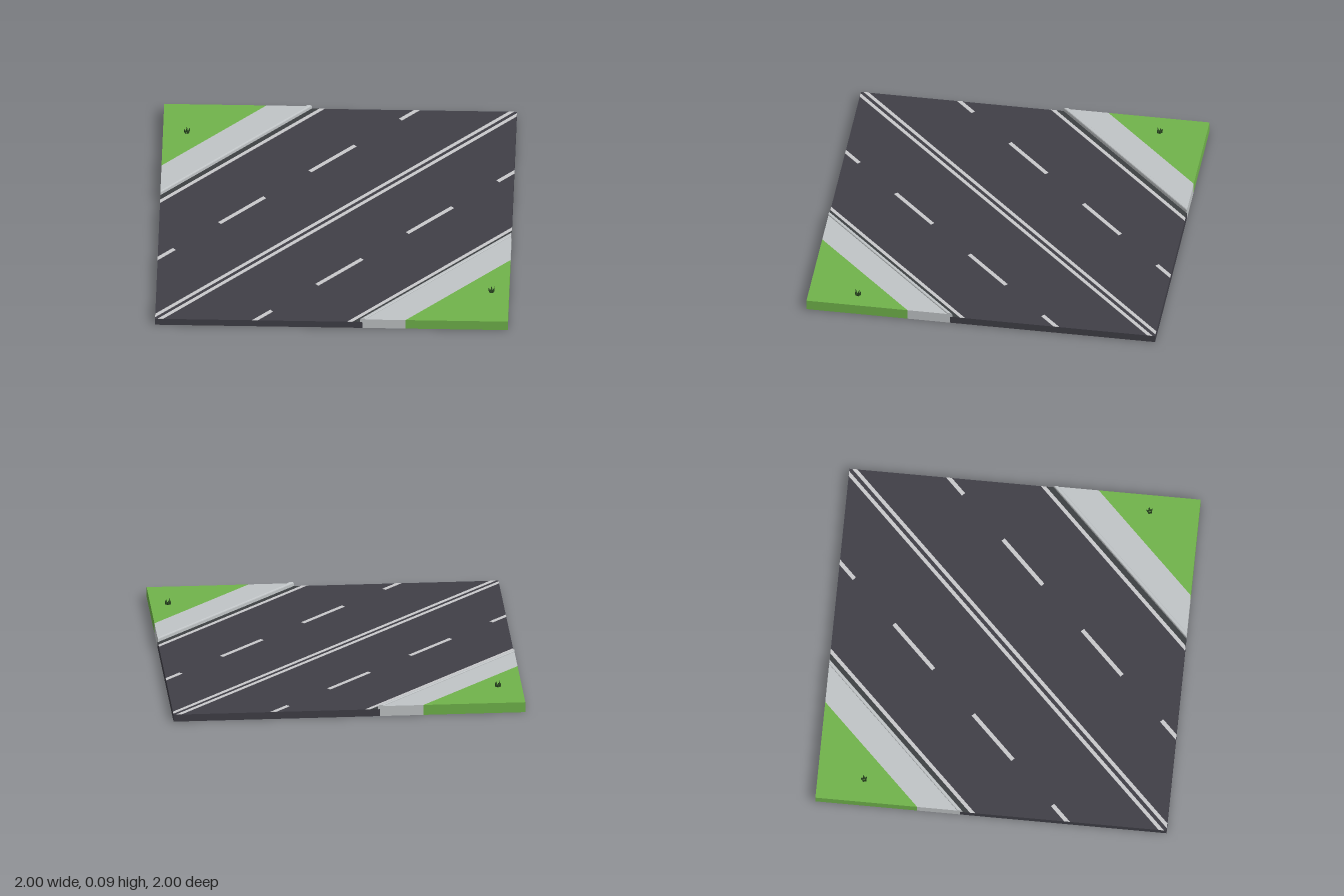
import * as THREE from 'three';

const mat = (name, color) => {
  const m = new THREE.MeshStandardMaterial({ color });
  m.name = name;
  return m;
};

// Across-road coordinate s = x + z, along-road coordinate d = (x - z) / 2.
const toPlan = (s, d) => [s / 2 + d, s / 2 - d];

// Trim a plan polygon to the square tile, one edge at a time.
function clipToTile(poly) {
  for (const [axis, sign] of [[0, 1], [0, -1], [1, 1], [1, -1]]) {
    const out = [];
    poly.forEach((a, i) => {
      const b = poly[(i + 1) % poly.length];
      const da = 1 - sign * a[axis], db = 1 - sign * b[axis];
      if (da >= 0) out.push(a);
      if (da * db < 0) {
        const t = da / (da - db);
        out.push([a[0] + (b[0] - a[0]) * t, a[1] + (b[1] - a[1]) * t]);
      }
    });
    poly = out;
  }
  return poly;
}

// Slab following the road, trimmed at the tile edges.
function slab(s0, s1, d0, d1, y0, y1) {
  const poly = clipToTile([toPlan(s0, d0), toPlan(s1, d0), toPlan(s1, d1), toPlan(s0, d1)]);
  const shape = new THREE.Shape(poly.map(([x, z]) => new THREE.Vector2(x, -z)));
  const geo = new THREE.ExtrudeGeometry(shape, { depth: y1 - y0, bevelEnabled: false });
  return geo.rotateX(-Math.PI / 2).translate(0, y0, 0);
}

// Sweep an (s, y) profile across a corner so both ends sit flush with the tile edges.
function cornerSweep(profile) {
  const shape = new THREE.Shape(profile.map(([s, y]) => new THREE.Vector2(s, y)));
  const geo = new THREE.ExtrudeGeometry(shape, { depth: 1, bevelEnabled: false });
  const p = geo.attributes.position;
  for (let i = 0; i < p.count; i++) {
    const s = p.getX(i), run = p.getZ(i) * (2 - s);
    p.setXYZ(i, 1 - run, p.getY(i), s - 1 + run);
  }
  geo.computeVertexNormals();
  return geo;
}

export function createModel() {
  const model = new THREE.Group();
  model.name = 'diagonalRoadTile';
  const asphalt = mat('asphalt', 0x403f47);
  const gutter = mat('gutter', 0x3d4042);
  const paint = mat('roadPaint', 0xc8c8ca);
  const concrete = mat('concrete', 0xc0c4c6);
  const grass = mat('grass', 0x70b34b);
  const tuftGreen = mat('tuftGreen', 0x2c4a22);

  const add = (parent, name, geo, material) => {
    const mesh = new THREE.Mesh(geo, material);
    mesh.name = name;
    parent.add(mesh);
    return mesh;
  };

  const roadY = 0.042, paintY = 0.044;
  add(model, 'road', slab(-1.175, 1.175, -2, 2, 0, roadY), asphalt);

  // Painted lines, mirrored about the road centre
  for (const side of [-1, 1]) {
    const line = (name, s0, s1, d0 = -2, d1 = 2) =>
      add(model, name, slab(side * s0, side * s1, d0, d1, roadY, paintY), paint);
    line('centreLine', 0.015, 0.045);
    line('edgeLine', 1.09, 1.12);
    for (const d of [-0.75, -0.25, 0.25, 0.75]) line('laneDash', 0.55, 0.583, d - 0.125, d + 0.125);
  }

  // Raised corners: gutter, rounded kerb, pavement and lawn
  for (const [name, turn] of [['frontCorner', 0], ['backCorner', Math.PI]]) {
    const corner = new THREE.Group();
    corner.name = name;
    corner.rotation.y = turn;
    model.add(corner);
    add(corner, 'gutter', cornerSweep([[1.12, roadY], [1.165, roadY], [1.165, 0.043], [1.12, 0.043]]), gutter);
    add(corner, 'kerb', cornerSweep([
      [1.163, 0.04], [1.192, 0.04], [1.192, 0.064], [1.188, 0.067],
      [1.172, 0.067], [1.166, 0.065], [1.163, 0.06],
    ]), concrete);
    add(corner, 'pavement', cornerSweep([[1.175, 0], [1.42, 0], [1.42, 0.06], [1.175, 0.06]]), concrete);
    add(corner, 'lawn', cornerSweep([[1.42, 0], [1.9999, 0], [1.9999, 0.06], [1.42, 0.06]]), grass);
  }

  // Grass tufts: five blades leaning outward
  for (const [x, z] of [[0.9, 0.72], [-0.865, -0.735]]) {
    const tuft = new THREE.Group();
    tuft.name = 'grassTuft';
    tuft.position.set(x, 0.058, z);
    model.add(tuft);
    for (let i = 0; i < 5; i++) {
      const h = 0.036 - 0.005 * (i % 3);
      const geo = new THREE.ConeGeometry(0.008, h, 4).toNonIndexed();
      geo.translate(0, h / 2, 0).rotateZ(-0.3).translate(0.009, 0, 0);
      geo.computeVertexNormals();
      add(tuft, 'blade', geo, tuftGreen).rotation.y = (i / 5) * Math.PI * 2 + 0.3;
    }
  }
  return model;
}
